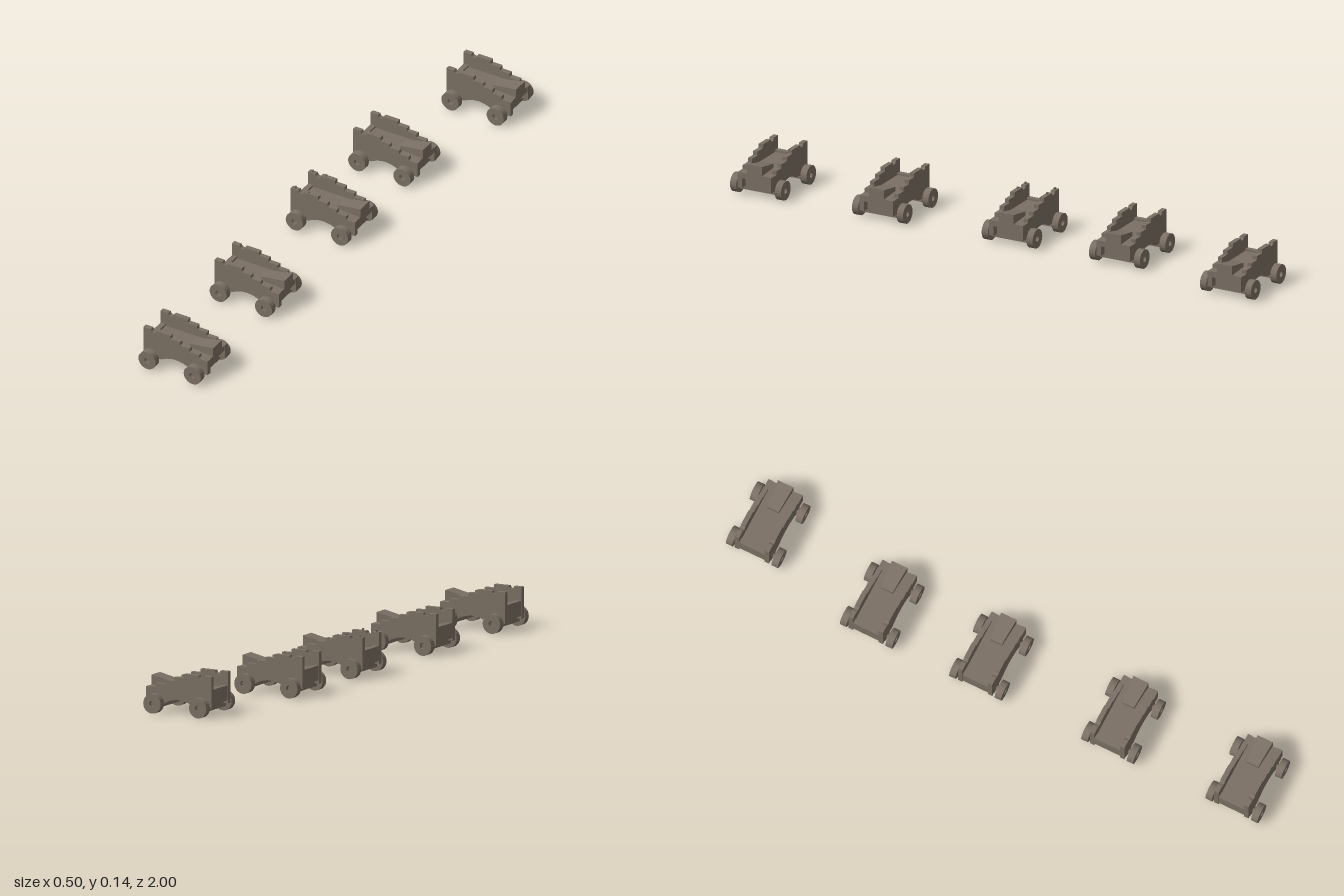
import * as THREE from 'three';

const wood = new THREE.MeshStandardMaterial({ color: 0x7b7064 });
wood.name = 'weathered wood';

function add(parent, name, geometry, x = 0, y = 0, z = 0) {
  const mesh = new THREE.Mesh(geometry, wood);
  mesh.name = name;
  mesh.position.set(x, y, z);
  parent.add(mesh);
  return mesh;
}

// Extrude a side profile, centred across its thickness
function slab(shape, depth, curveSegments = 10) {
  const g = new THREE.ExtrudeGeometry(shape, { depth, bevelEnabled: false, curveSegments });
  return g.translate(0, 0, -depth / 2);
}

// Stepped side plank with a trunnion notch on top and an arch below
function cheekGeometry() {
  const s = new THREE.Shape();
  s.moveTo(-0.1215, 0.03);
  s.lineTo(-0.055, 0.03);
  s.quadraticCurveTo(0.001, 0.064, 0.057, 0.03);
  s.lineTo(0.1215, 0.03);
  let y = 0.083;
  s.lineTo(0.1215, y);
  for (const x of [0.0875, 0.052, 0.0166, -0.019]) {
    s.lineTo(x, y);
    y += 0.013;
    s.lineTo(x, y);
  }
  s.lineTo(-0.073, y);
  s.absarc(-0.083, y, 0.01, 0, -Math.PI, true);
  s.lineTo(-0.1215, y);
  s.closePath();
  return slab(s, 0.016);
}

// Solid truck wheel with a bored hub
function wheelGeometry() {
  const s = new THREE.Shape();
  s.absarc(0, 0, 0.0325, 0, Math.PI * 2);
  const hole = new THREE.Path();
  hole.absarc(0, 0, 0.01, 0, Math.PI * 2, true);
  s.holes.push(hole);
  return slab(s, 0.023, 12);
}

// Wedge that narrows towards its thin end
function quoinGeometry() {
  const s = new THREE.Shape();
  s.moveTo(0.03, 0.083);
  s.lineTo(0.1215, 0.083);
  s.lineTo(0.1215, 0.115);
  s.lineTo(0.03, 0.097);
  s.closePath();
  const g = slab(s, 0.056);
  const p = g.attributes.position;
  for (let i = 0; i < p.count; i++) {
    if (p.getX(i) < 0.05) p.setZ(i, p.getZ(i) * 0.75);
  }
  g.computeVertexNormals();
  return g;
}

const cheek = cheekGeometry();
const wheel = wheelGeometry();
const quoin = quoinGeometry();
const axleArm = new THREE.CylinderGeometry(0.008, 0.008, 0.172, 12).rotateX(Math.PI / 2);
const pin = new THREE.CylinderGeometry(0.005, 0.002, 0.006, 8);

function createCarriage(withPins) {
  const carriage = new THREE.Group();

  // Bed, transom and elevating wedge between the cheeks
  add(carriage, 'bed', new THREE.BoxGeometry(0.24, 0.02, 0.094), 0, 0.073, 0);
  add(carriage, 'transom', new THREE.BoxGeometry(0.018, 0.05, 0.094), -0.111, 0.065, 0);
  add(carriage, 'quoin', quoin);

  for (const side of [-1, 1]) {
    const name = side > 0 ? 'rightCheek' : 'leftCheek';
    add(carriage, name, cheek, 0, 0, side * 0.0545);
    if (withPins) {
      for (const x of [-0.108, -0.057]) add(carriage, 'capPin', pin, x, 0.138, side * 0.0545);
    }
  }

  // Axle beams with round arms and wheels
  for (const x of [-0.089, 0.082]) {
    add(carriage, 'axleBeam', new THREE.BoxGeometry(0.032, 0.038, 0.125), x, 0.037, 0);
    add(carriage, 'axleArm', axleArm, x, 0.0325, 0);
    for (const side of [-1, 1]) add(carriage, 'wheel', wheel, x, 0.0325, side * 0.083);
  }
  return carriage;
}

export function createModel() {
  const model = new THREE.Group();
  model.name = 'gunCarriages';
  // Row of carriages, each turned by the same angle
  const places = [[-0.114, -0.887], [-0.114, -0.424], [-0.044, -0.033], [0.039, 0.441], [0.118, 0.886]];
  places.forEach(([x, z], i) => {
    const carriage = createCarriage(i === 2);
    carriage.name = 'carriage' + (i + 1);
    carriage.position.set(x, 0, z);
    carriage.rotation.y = THREE.MathUtils.degToRad(10);
    model.add(carriage);
  });
  return model;
}
